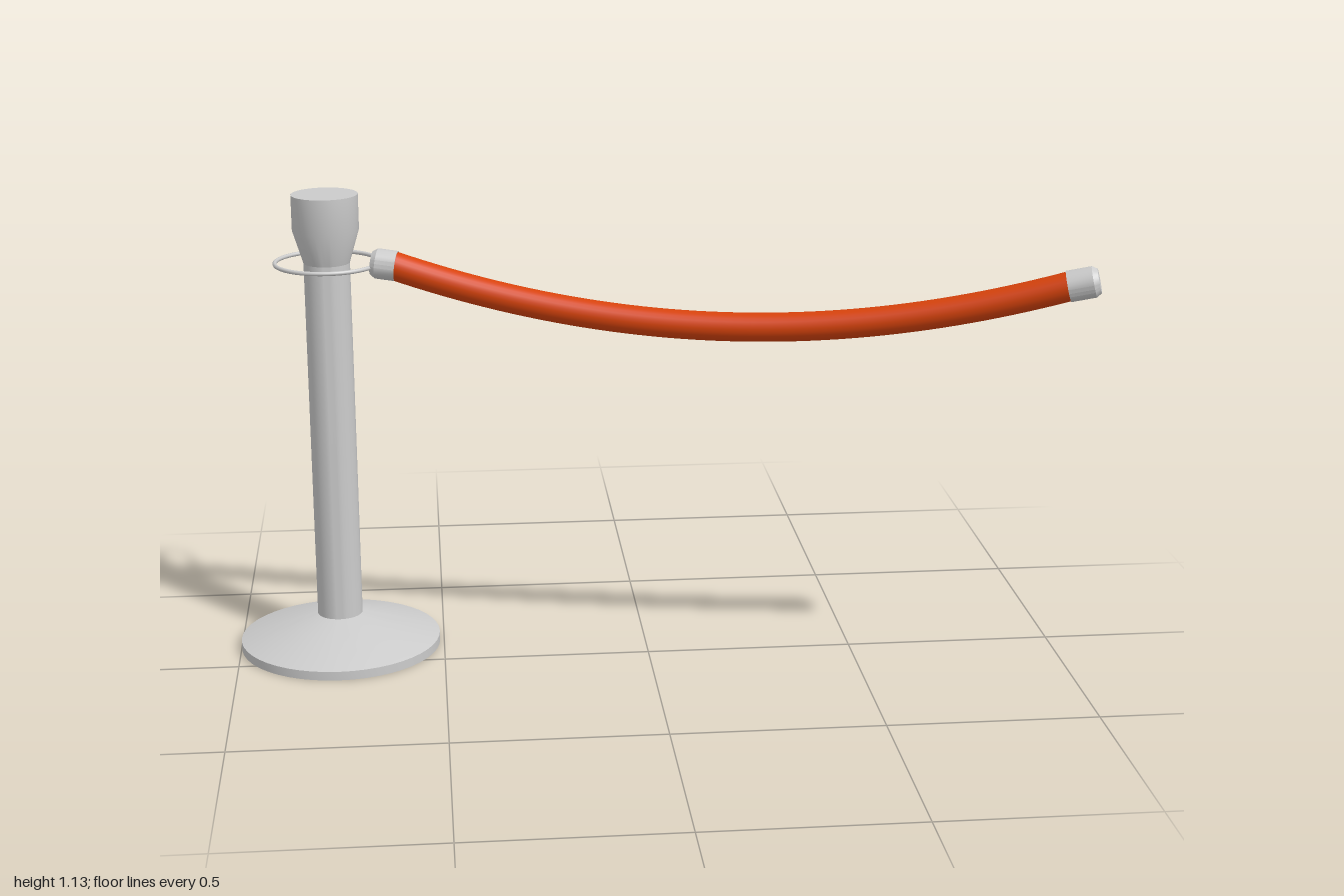
import * as THREE from 'three';
import { toCreasedNormals } from 'three/addons/utils/BufferGeometryUtils.js';

const grey = new THREE.MeshStandardMaterial({ color: 0xcccccc });
const ropeMaterial = new THREE.MeshStandardMaterial({ color: 0xd8430c });

// Turned part from [radius, height] pairs, with sharp rims and smooth sides
function turned(name, profile, segments = 40) {
  const points = profile.map(([r, y]) => new THREE.Vector2(r, y));
  const geometry = toCreasedNormals(new THREE.LatheGeometry(points, segments), 0.4);
  const mesh = new THREE.Mesh(geometry, grey);
  mesh.name = name;
  return mesh;
}

// Metal rope end, its axis pointing outward from the rope
function endCap(name, from, to) {
  const axis = to.clone().sub(from);
  const length = axis.length();
  const cap = turned(name, [
    [0, 0], [0.036, 0], [0.036, length - 0.012], [0.028, length], [0, length],
  ], 24);
  cap.position.copy(from);
  cap.quaternion.setFromUnitVectors(new THREE.Vector3(0, 1, 0), axis.normalize());
  return cap;
}

export function createModel() {
  const model = new THREE.Group();

  // Post with weighted base and flared head
  const stanchion = new THREE.Group();
  stanchion.name = 'stanchion';
  stanchion.position.set(-0.755, 0, -0.135);
  stanchion.add(
    turned('base', [[0, 0], [0.245, 0], [0.245, 0.022], [0.055, 0.083], [0, 0.083]], 48),
    turned('post', [[0.055, 0.08], [0.055, 0.975]]),
    turned('head', [[0.055, 0.97], [0.079, 1.05], [0.079, 1.135], [0, 1.135]]),
  );

  // Loose ring that holds the rope
  const ring = new THREE.Mesh(new THREE.TorusGeometry(0.123, 0.005, 10, 56), grey);
  ring.name = 'ropeRing';
  ring.rotation.x = Math.PI / 2;
  ring.position.y = 0.97;
  stanchion.add(ring);
  model.add(stanchion);

  // Sagging rope
  const start = new THREE.Vector3(-0.6, 0.972, -0.081);
  const end = new THREE.Vector3(0.925, 0.983, 0.328);
  const curve = new THREE.QuadraticBezierCurve3(start, new THREE.Vector3(0.17, 0.722, 0.078), end);
  const rope = new THREE.Mesh(new THREE.TubeGeometry(curve, 48, 0.034, 24), ropeMaterial);
  rope.name = 'rope';
  model.add(rope);

  // Caps on both rope ends
  model.add(
    endCap('innerRopeCap', new THREE.Vector3(-0.59, 0.97, -0.079), new THREE.Vector3(-0.648, 0.977, -0.09)),
    endCap('outerRopeCap', new THREE.Vector3(0.922, 0.982, 0.327), new THREE.Vector3(0.988, 0.998, 0.346)),
  );
  return model;
}
